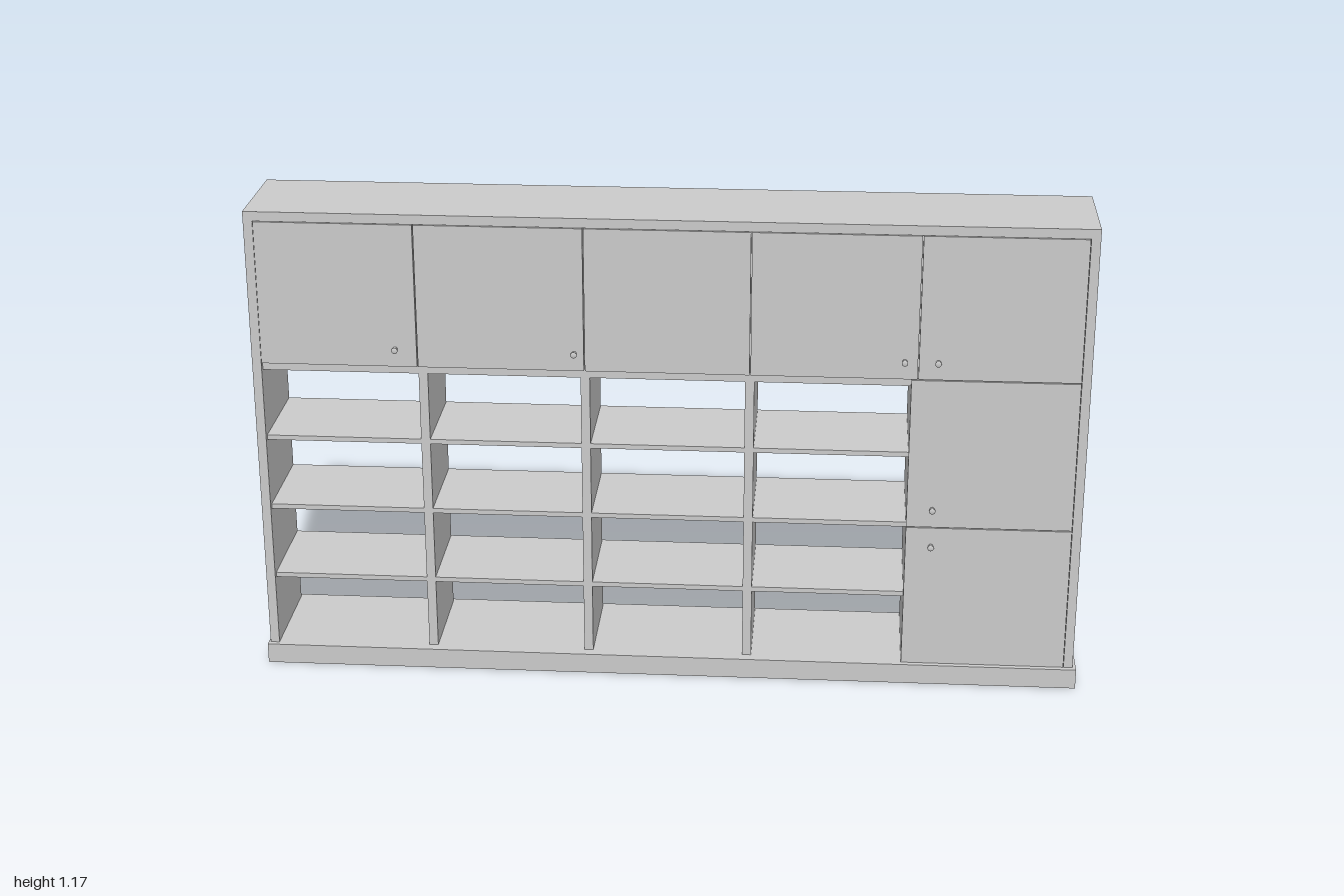
import * as THREE from 'three';

const material = new THREE.MeshStandardMaterial({ color: 0xcccccc, flatShading: true });
const knobMaterial = new THREE.MeshStandardMaterial({ color: 0xcccccc });

export function createModel() {
  const model = new THREE.Group();

  // Box given by its limits on each axis
  const board = (name, x0, x1, y0, y1, z0, z1) => {
    const mesh = new THREE.Mesh(new THREE.BoxGeometry(x1 - x0, y1 - y0, z1 - z0), material);
    mesh.position.set((x0 + x1) / 2, (y0 + y1) / 2, (z0 + z1) / 2);
    mesh.name = name;
    model.add(mesh);
  };

  const back = -0.135, front = 0.128;
  const inner = 0.115;               // front edge of boards behind the doors
  const left = -0.973, right = 0.97; // inside faces of the side panels
  const baseTop = 0.05, topUnder = 1.147;
  const railLow = 0.772, railHigh = 0.795;

  // Plinth and outer carcass
  board('plinth', -1, 1, 0, baseTop, -0.147, 0.141);
  board('topPanel', -0.995, 0.992, topUnder, 1.17, back, front);
  board('rightSidePanel', -0.995, left, baseTop, topUnder, back, front);
  board('leftSidePanel', right, 0.992, baseTop, topUnder, back, front);

  // Upright dividers, and the long board under the upper cabinets
  const dividers = [-0.586, -0.198, 0.193, 0.584];
  const half = 0.011;
  dividers.forEach((x) => {
    board('lowerDivider', x - half, x + half, baseTop, railLow, back, inner);
    board('upperDivider', x - half, x + half, railHigh, topUnder, back, inner);
  });
  board('cabinetFloor', left, right, railLow, railHigh, back, inner);
  board('tallCabinetShelf', dividers[3] + half, right, 0.404, 0.424, back, inner);

  // Open shelves in the four lower bays
  const bays = [left, ...dividers, right];
  for (let i = 0; i < 4; i++) {
    const x0 = i ? bays[i] + half : left;
    for (const y of [0.23, 0.415, 0.597]) {
      board('openShelf', x0, bays[i + 1] - half, y - 0.006, y + 0.006, back, inner);
    }
  }

  // Recessed back panels behind the closed cabinets
  const panelBack = back + 0.02, panelFront = panelBack + 0.008;
  for (let i = 0; i < 5; i++) {
    const x0 = i ? bays[i] + half : left;
    const x1 = i < 4 ? bays[i + 1] - half : right;
    board('upperBackPanel', x0, x1, railHigh, topUnder, panelBack, panelFront);
  }
  board('middleBackPanel', dividers[3] + half, right, 0.424, railLow, panelBack, panelFront);
  board('bottomBackPanel', dividers[3] + half, right, baseTop, 0.404, panelBack, panelFront);

  // Doors, with narrow gaps between them
  const gap = 0.0012, doorFront = 0.13;
  const door = (x0, x1, y0, y1) =>
    board('door', x0 + gap, x1 - gap, y0 + gap, y1 - gap, inner, doorFront);
  const doorEdges = [left, -0.596, -0.198, 0.194, 0.588, right];
  for (let i = 0; i < 5; i++) door(doorEdges[i], doorEdges[i + 1], 0.793, topUnder);
  door(0.572, right, 0.415, 0.793);
  door(0.572, right, baseTop, 0.415);

  // Turned knobs: a small foot, a waist and a rounded head
  const profile = [[0, 0], [0.006, 0], [0.006, 0.002], [0.003, 0.005], [0.003, 0.008],
    [0.0075, 0.011], [0.0075, 0.013], [0.005, 0.015], [0, 0.015]];
  const knobGeometry = new THREE.LatheGeometry(profile.map(([r, y]) => new THREE.Vector2(r, y)), 16);
  knobGeometry.rotateX(Math.PI / 2);
  const knobs = [[-0.648, 0.838], [-0.222, 0.838], [0.556, 0.838],
    [0.634, 0.838], [0.634, 0.463], [0.634, 0.366]];
  knobs.forEach(([x, y]) => {
    const knob = new THREE.Mesh(knobGeometry, knobMaterial);
    knob.position.set(x, y, doorFront);
    knob.name = 'knob';
    model.add(knob);
  });

  return model;
}
